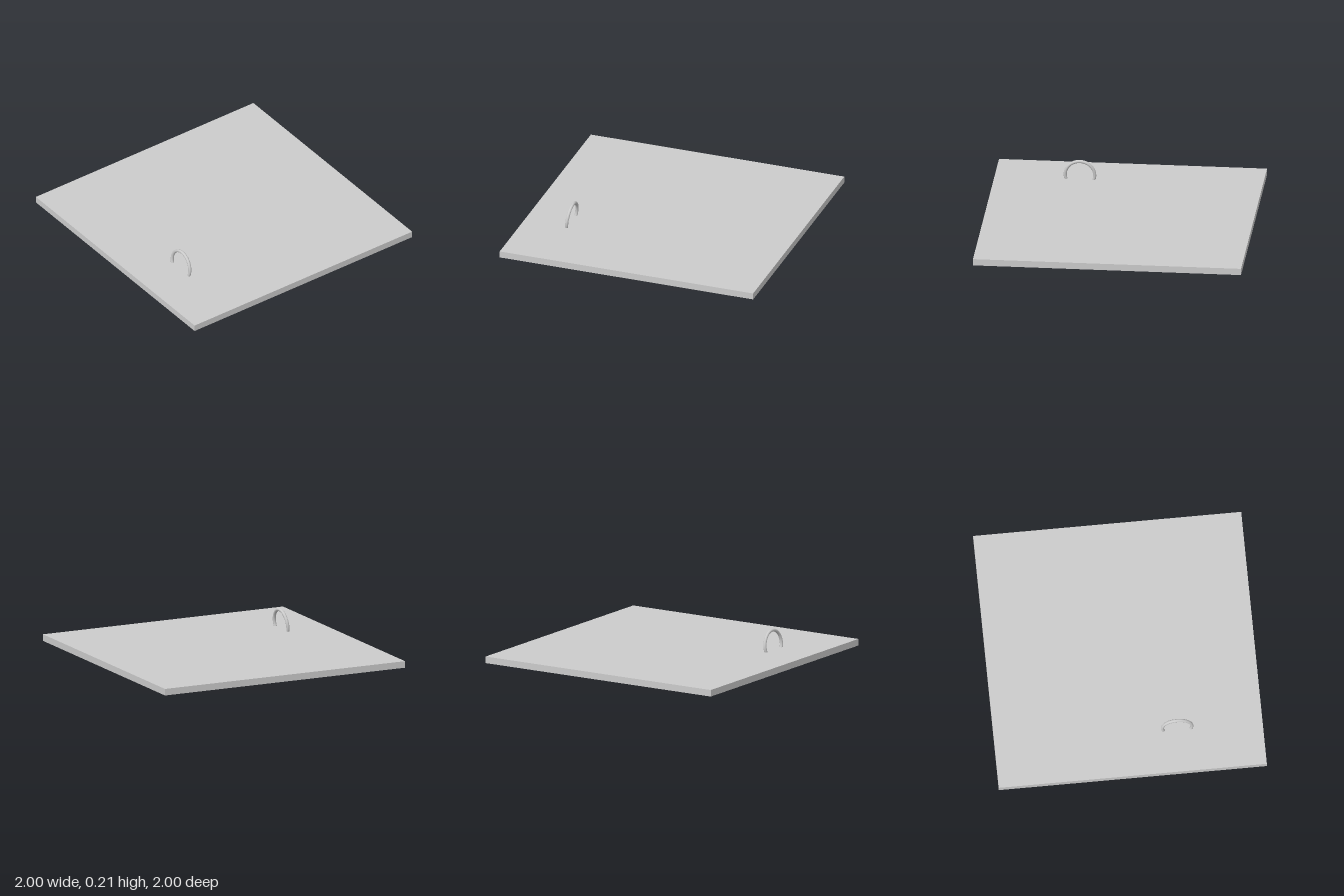
import * as THREE from 'three';

export function createModel() {
  const group = new THREE.Group();
  const material = new THREE.MeshStandardMaterial({ color: 0xcccccc });

  // Flat square slab
  const thickness = 0.05;
  const plate = new THREE.Mesh(new THREE.BoxGeometry(2, thickness, 2), material);
  plate.name = 'plate';
  plate.position.y = thickness / 2;
  group.add(plate);

  // Horseshoe handle: an arc past the half circle, leaning back toward its top
  const radius = 0.11, tube = 0.012, centreY = 0.085, overrun = 0.4;
  const points = [];
  for (let i = 0; i <= 16; i++) {
    const a = -overrun + (Math.PI + 2 * overrun) * (i / 16);
    const y = centreY + radius * Math.sin(a);
    const lean = 0.664 - 0.1 * (y - thickness);
    points.push(new THREE.Vector3(0.363 + radius * Math.cos(a), y, lean));
  }
  const path = new THREE.CatmullRomCurve3(points);
  const handle = new THREE.Group();
  handle.name = 'handle';
  const bow = new THREE.Mesh(new THREE.TubeGeometry(path, 48, tube, 12), material);
  bow.name = 'handleBow';
  handle.add(bow);

  // Rounded ends closing the tube at the slab
  for (const [name, p] of [['leftEnd', points[0]], ['rightEnd', points[16]]]) {
    const end = new THREE.Mesh(new THREE.SphereGeometry(tube, 12, 8), material);
    end.name = name;
    end.position.copy(p);
    handle.add(end);
  }
  group.add(handle);
  return group;
}
